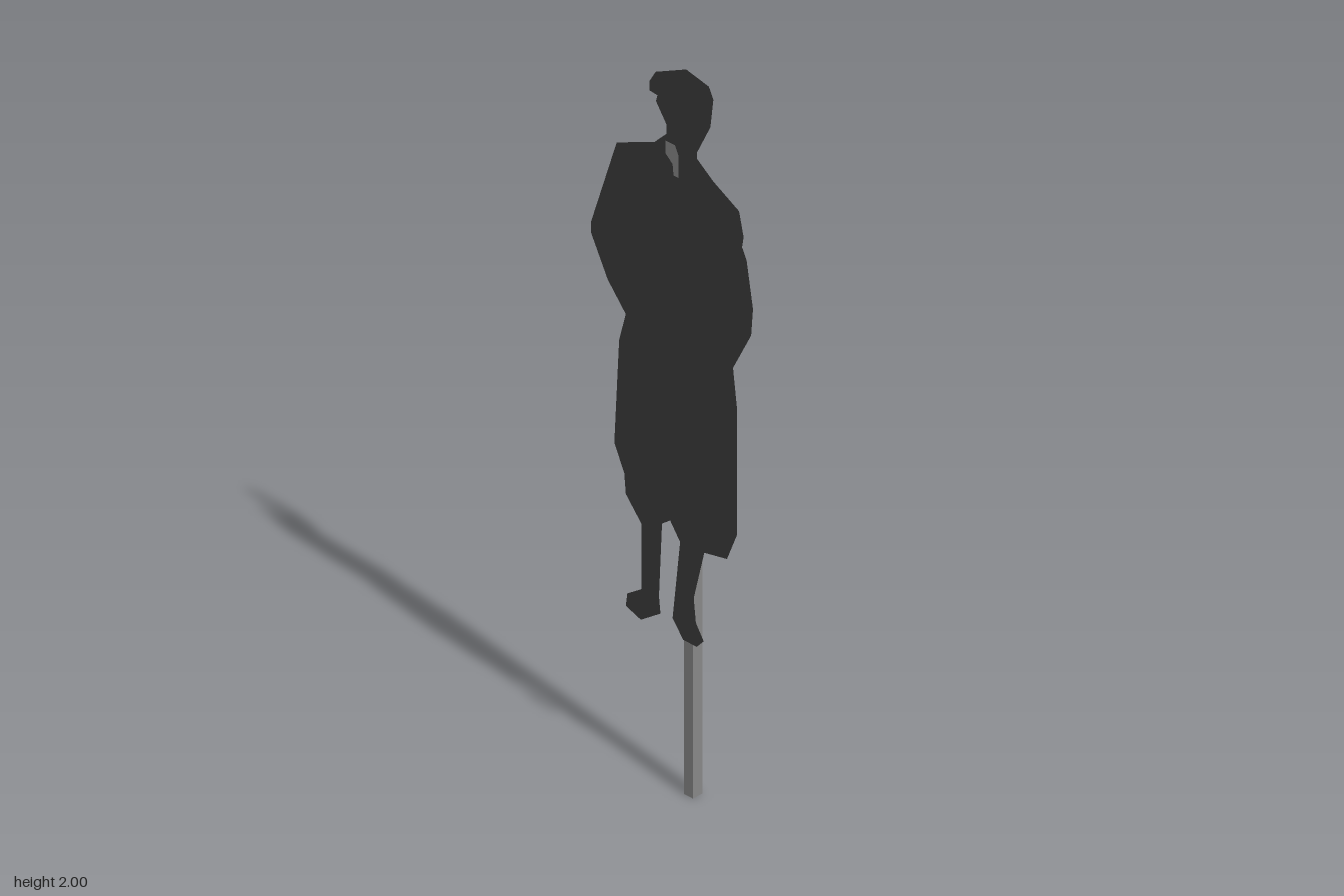
import * as THREE from 'three';

// Flat outline of the standing figure: cap, coat, legs and shoes, clockwise from the cap
const OUTLINE = [
  [-0.056, 1.95], [0.045, 2.0], [0.12, 1.985], [0.135, 1.955], [0.125, 1.875], [0.08, 1.785],
  [0.08, 1.77], [0.135, 1.73], [0.22, 1.685], [0.235, 1.62], [0.23, 1.59], [0.245, 1.56],
  [0.266, 1.435], [0.26, 1.36], [0.2, 1.245], [0.213, 1.14], [0.213, 0.79], [0.18, 0.71],
  [0.105, 0.695], [0.07, 0.555], [0.077, 0.49], [0.103, 0.45], [0.08, 0.425], [0.035, 0.425],
  [0.0, 0.47], [0.025, 0.69], [-0.008, 0.735], [-0.035, 0.715], [-0.045, 0.51], [-0.04, 0.465],
  [-0.105, 0.42], [-0.155, 0.437], [-0.15, 0.473], [-0.103, 0.505], [-0.103, 0.685],
  [-0.155, 0.745], [-0.16, 0.8], [-0.193, 0.87], [-0.177, 1.16], [-0.155, 1.24],
  [-0.215, 1.31], [-0.27, 1.415], [-0.27, 1.445], [-0.185, 1.7], [-0.06, 1.755],
  [-0.02, 1.795], [-0.02, 1.82], [-0.055, 1.87], [-0.05, 1.888], [-0.077, 1.89], [-0.077, 1.915],
];

// Small pale patch at the collar
const COLLAR = [
  [-0.024, 1.775], [0.008, 1.775], [0.02, 1.75], [0.02, 1.69],
  [0.003, 1.69], [0.0, 1.72], [-0.024, 1.74],
];

const toPoints = (list) => list.map(([x, y]) => new THREE.Vector2(x, y));

export function createModel() {
  const charcoal = new THREE.MeshStandardMaterial({ color: 0x3c3c3c, side: THREE.DoubleSide });
  charcoal.name = 'charcoal';
  const grey = new THREE.MeshStandardMaterial({ color: 0x888888, side: THREE.DoubleSide });
  grey.name = 'grey';

  const group = new THREE.Group();
  group.name = 'silhouetteOnPost';
  const add = (name, geometry, material, x, y, z) => {
    const mesh = new THREE.Mesh(geometry, material);
    mesh.name = name;
    mesh.position.set(x, y, z);
    group.add(mesh);
  };

  // Sheet figure with an opening that the collar patch fills
  const figure = new THREE.Shape(toPoints(OUTLINE));
  figure.holes.push(new THREE.Path(toPoints(COLLAR)));
  add('figure', new THREE.ShapeGeometry(figure), charcoal, 0, 0, 0.017);
  add('collarPatch', new THREE.ShapeGeometry(new THREE.Shape(toPoints(COLLAR))), grey, 0, 0, 0.017);

  // Square post behind the figure
  add('post', new THREE.BoxGeometry(0.03, 1.22, 0.032), grey, 0.05, 0.61, -0.001);

  return group;
}
